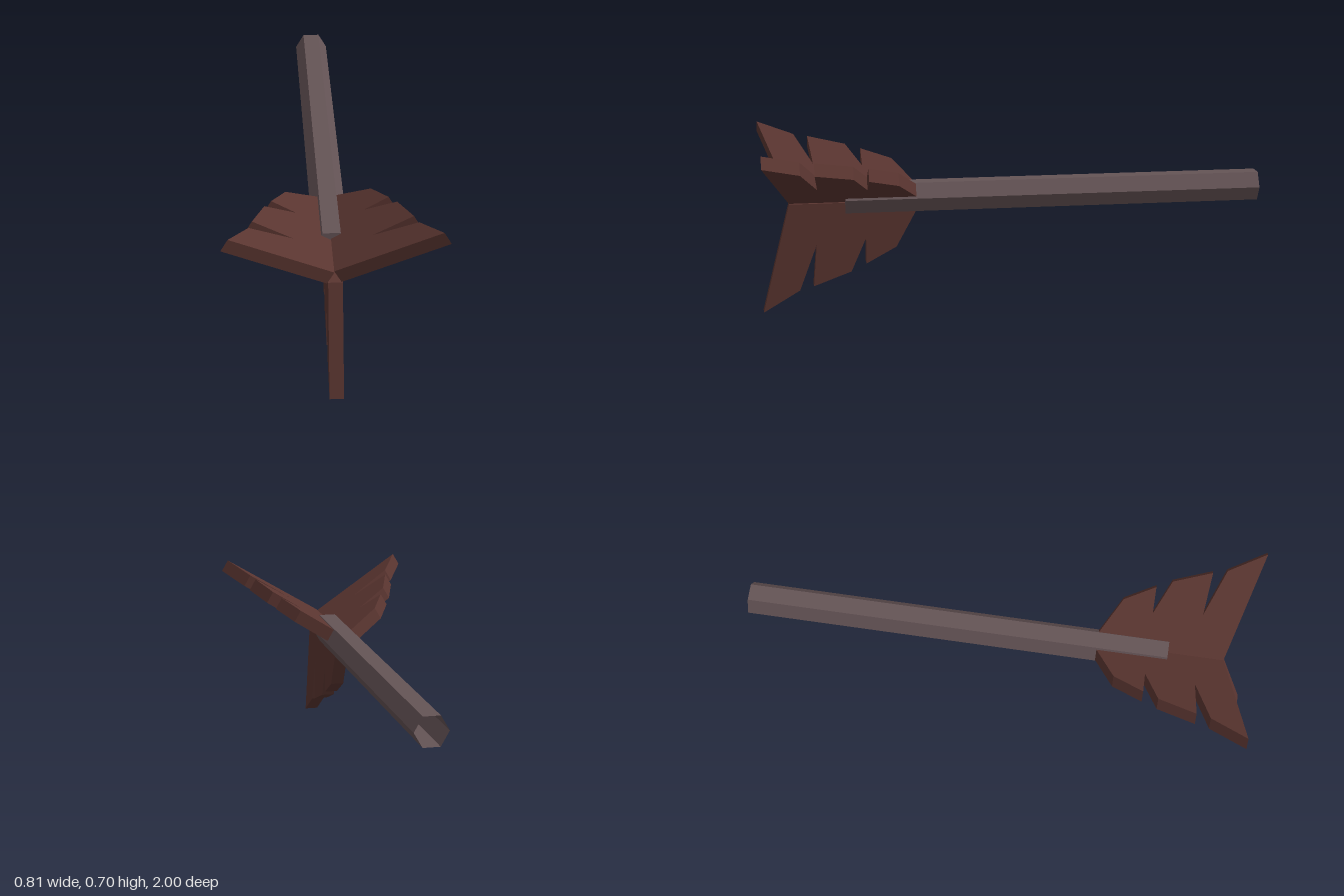
import * as THREE from 'three';

const AXIS_Y = 0.45;

export function createModel() {
  const model = new THREE.Group();
  const shaftMat = new THREE.MeshStandardMaterial({ color: 0x655456, flatShading: true, side: THREE.DoubleSide });
  const finMat = new THREE.MeshStandardMaterial({ color: 0x5a3530, flatShading: true });

  // Hollow hexagonal shaft, open at the back and closed under the fins
  const radius = 0.066, back = -1, front = 0.67;
  const shaft = new THREE.Group();
  shaft.name = 'shaft';
  const tubeGeo = new THREE.CylinderGeometry(radius, radius, front - back, 6, 1, true, Math.PI / 6);
  tubeGeo.rotateX(Math.PI / 2).translate(0, 0, (front + back) / 2);
  const tube = new THREE.Mesh(tubeGeo, shaftMat);
  tube.name = 'shaftTube';
  const cap = new THREE.Mesh(new THREE.CircleGeometry(radius, 6), shaftMat);
  cap.name = 'shaftCap';
  cap.position.z = front;
  shaft.add(tube, cap);
  shaft.position.y = AXIS_Y;
  model.add(shaft);

  // Notched feather outline: position along the shaft, distance from its axis
  const outline = [
    [0.39, 0.015], [0.39, 0.055], [0.47, 0.2], [0.59, 0.265], [0.59, 0.16],
    [0.65, 0.295], [0.8, 0.35], [0.785, 0.18], [0.855, 0.365], [1, 0.45], [0.89, 0.015],
  ];
  const shape = new THREE.Shape(outline.map(([z, r]) => new THREE.Vector2(z, -r)));
  const thickness = 0.053;
  const finGeo = new THREE.ExtrudeGeometry(shape, { depth: thickness, bevelEnabled: false });
  finGeo.rotateY(-Math.PI / 2).translate(thickness / 2 + 0.003, 0, 0);

  // Three fins spaced evenly around the shaft
  ['bottomFin', 'leftFin', 'rightFin'].forEach((name, i) => {
    const fin = new THREE.Mesh(finGeo, finMat);
    fin.name = name;
    fin.position.y = AXIS_Y;
    fin.rotation.z = (i * Math.PI * 2) / 3;
    model.add(fin);
  });

  return model;
}
